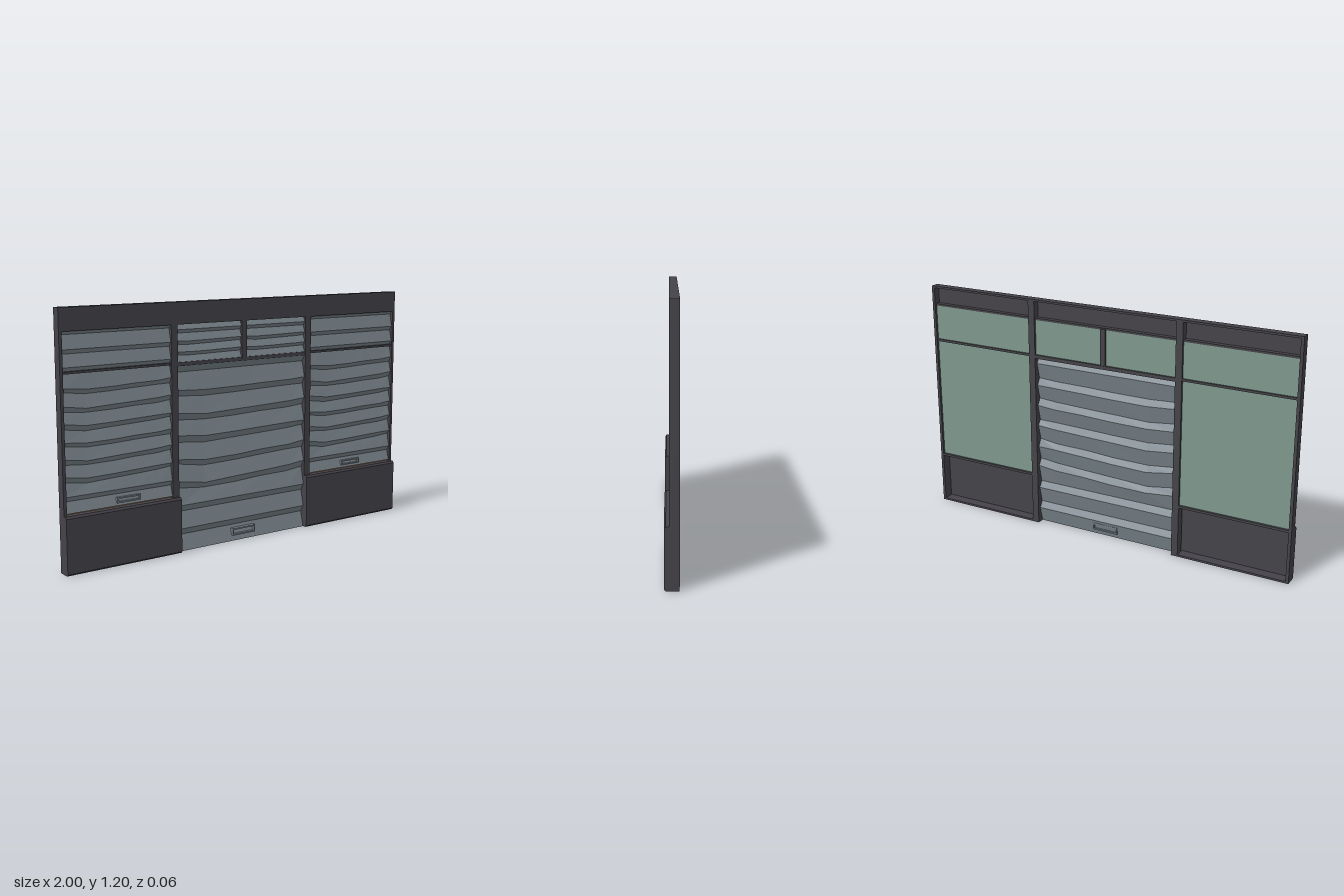
import * as THREE from 'three';

const frameMat = new THREE.MeshStandardMaterial({ name: 'dark frame', color: 0x454349 });
const shutterMat = new THREE.MeshStandardMaterial({ name: 'blue grey shutter', color: 0x7b868d, side: THREE.DoubleSide, flatShading: true });
const glassMat = new THREE.MeshStandardMaterial({ name: 'green glass', color: 0x7f988c, side: THREE.DoubleSide });
const trimMat = new THREE.MeshStandardMaterial({ name: 'amber trim', color: 0xc98a3a });

export function createModel() {
  const root = new THREE.Group();
  root.name = 'shuttered shopfront';

  function add(name, geo, mat) {
    const mesh = new THREE.Mesh(geo, mat);
    mesh.name = name;
    root.add(mesh);
    return mesh;
  }
  // Box given by its two extreme corners
  function box(name, mat, x0, x1, y0, y1, z0, z1) {
    const g = new THREE.BoxGeometry(x1 - x0, y1 - y0, z1 - z0);
    g.translate((x0 + x1) / 2, (y0 + y1) / 2, (z0 + z1) / 2);
    return add(name, g, mat);
  }
  // Side profile of [z, y] points swept from x0 to x1
  function sweep(name, pts, x0, x1) {
    const shape = new THREE.Shape(pts.map(p => new THREE.Vector2(p[0], p[1])));
    const g = new THREE.ExtrudeGeometry(shape, { depth: x1 - x0, bevelEnabled: false });
    g.rotateY(-Math.PI / 2);
    g.translate(x1, 0, 0);
    return add(name, g, frameMat);
  }

  // Dented slatted sheet: wide faces lean out at the foot, narrow returns step back in
  const dentU = [0, 0.2, 0.45, 0.65, 0.87, 1];
  const dentY = [0.8, -0.6, -0.3, 0.15, 0.5, 1];
  function shutter(name, x0, x1, y0, y1, bands, t, dent, zIn, zOut) {
    const rows = [{ y: y0, z: zOut, k: 0 }];
    bands.forEach(([y, k]) => {
      rows.push({ y: y - t / 2, z: zIn, k }, { y: y + t / 2, z: zOut, k });
    });
    rows.push({ y: y1, z: zIn, k: 0 });
    const pos = [], idx = [], n = dentU.length;
    rows.forEach((r, j) => dentU.forEach((u, i) => {
      const wobble = 1 + 0.35 * Math.sin(j * 2.1 + i * 1.7);
      pos.push(x0 + (x1 - x0) * u, r.y + dent * r.k * dentY[i] * wobble, r.z);
      if (j && i) {
        const a = (j - 1) * n + i - 1, b = a + 1, c = a + n, d = c + 1;
        idx.push(a, b, d, a, d, c);
      }
    }));
    const g = new THREE.BufferGeometry();
    g.setAttribute('position', new THREE.Float32BufferAttribute(pos, 3));
    g.setIndex(idx);
    g.computeVertexNormals();
    add(name, g, shutterMat);
  }

  // Rectangular pull handle
  function handle(x, y, w, h, z0, z1) {
    const s = new THREE.Shape(), hole = new THREE.Path(), b = 0.007;
    const rect = (p, a, c) => p.moveTo(-a, -c).lineTo(a, -c).lineTo(a, c).lineTo(-a, c).closePath();
    rect(s, w / 2, h / 2);
    rect(hole, w / 2 - b, h / 2 - b);
    s.holes.push(hole);
    const g = new THREE.ExtrudeGeometry(s, { depth: z1 - z0, bevelEnabled: false });
    g.translate(x, y, z0);
    add('shutter handle', g, shutterMat);
  }

  const back = -0.032, front = 0.012;

  // Fascia shell, open at the back
  box('fascia', frameMat, -1, 1, 1.1, 1.2, 0.004, front);
  box('top cap', frameMat, -1, 1, 1.19, 1.2, back, front);
  box('fascia soffit', frameMat, -0.99, 0.99, 1.095, 1.105, -0.022, front);

  // Posts and centre bars
  for (const [a, b] of [[-1, -0.985], [-0.425, -0.39], [0.38, 0.415], [0.985, 1]])
    box('post', frameMat, a, b, 0, 1.195, back, front);
  box('centre mullion', frameMat, -0.018, 0.01, 0.91, 1.1, -0.03, front);
  box('door lintel', frameMat, -0.39, 0.38, 0.9, 0.918, back, 0.01);

  // Window bays with stall risers
  const riser = [[0.005, 0], [0.026, 0], [0.033, 0.008], [0.033, 0.264], [0.026, 0.274], [0.005, 0.274]];
  const shell = [[back, 0], [0.026, 0], [0.033, 0.008], [0.033, 0.264], [0.026, 0.274], [back, 0.274],
    [back, 0.262], [0.022, 0.262], [0.022, 0.01], [back, 0.01]];
  const lowBands = [0.345, 0.425, 0.507, 0.586, 0.664, 0.745, 0.828].map((y, i) => [y, i ? 1 : 0]);
  for (const [x0, x1, outer0, outer1] of [[-0.985, -0.425, -1, -0.39], [0.415, 0.985, 0.38, 1]]) {
    sweep('stall riser', shell, outer0, outer1);
    sweep('riser end', riser, outer0, outer0 + 0.012);
    sweep('riser end', riser, outer1 - 0.012, outer1);
    box('sill trim', trimMat, x0, x1, 0.272, 0.28, -0.012, -0.006);
    box('window glass', glassMat, x0, x1, 0.27, 1.1, -0.02, -0.016);
    box('transom bar', frameMat, x0, x1, 0.907, 0.918, -0.03, 0.006);
    shutter('window shutter', x0, x1, 0.28, 0.91, lowBands, 0.023, 0.01, -0.008, 0.007);
    shutter('upper window shutter', x0, x1, 0.915, 1.1, [[0.926, 0], [1.005, 0], [1.09, 0]], 0.02, 0, -0.008, 0.007);
    handle((x0 + x1) / 2 + 0.04 * (x0 < 0 ? 1 : 0), 0.306, 0.124, 0.027, 0, 0.012);
  }

  // Fanlights above the door
  for (const [x0, x1] of [[-0.39, -0.018], [0.01, 0.38]]) {
    box('fanlight glass', glassMat, x0, x1, 0.915, 1.1, -0.02, -0.016);
    shutter('fanlight shutter', x0, x1, 0.915, 1.1, [[0.957, 0.5], [1.008, 0.5], [1.062, 0]], 0.017, 0.006, -0.008, 0.006);
  }

  // Door shutter
  const doorBands = [[0.095, 0], [0.21, 0], [0.318, 1], [0.428, 1.1], [0.542, 0.7], [0.652, 0.7], [0.765, 0.5], [0.885, 0]];
  shutter('door shutter', -0.39, 0.38, 0, 0.905, doorBands, 0.032, 0.015, -0.014, 0.006);
  handle(-0.006, 0.045, 0.138, 0.036, -0.012, 0.012);

  return root;
}
